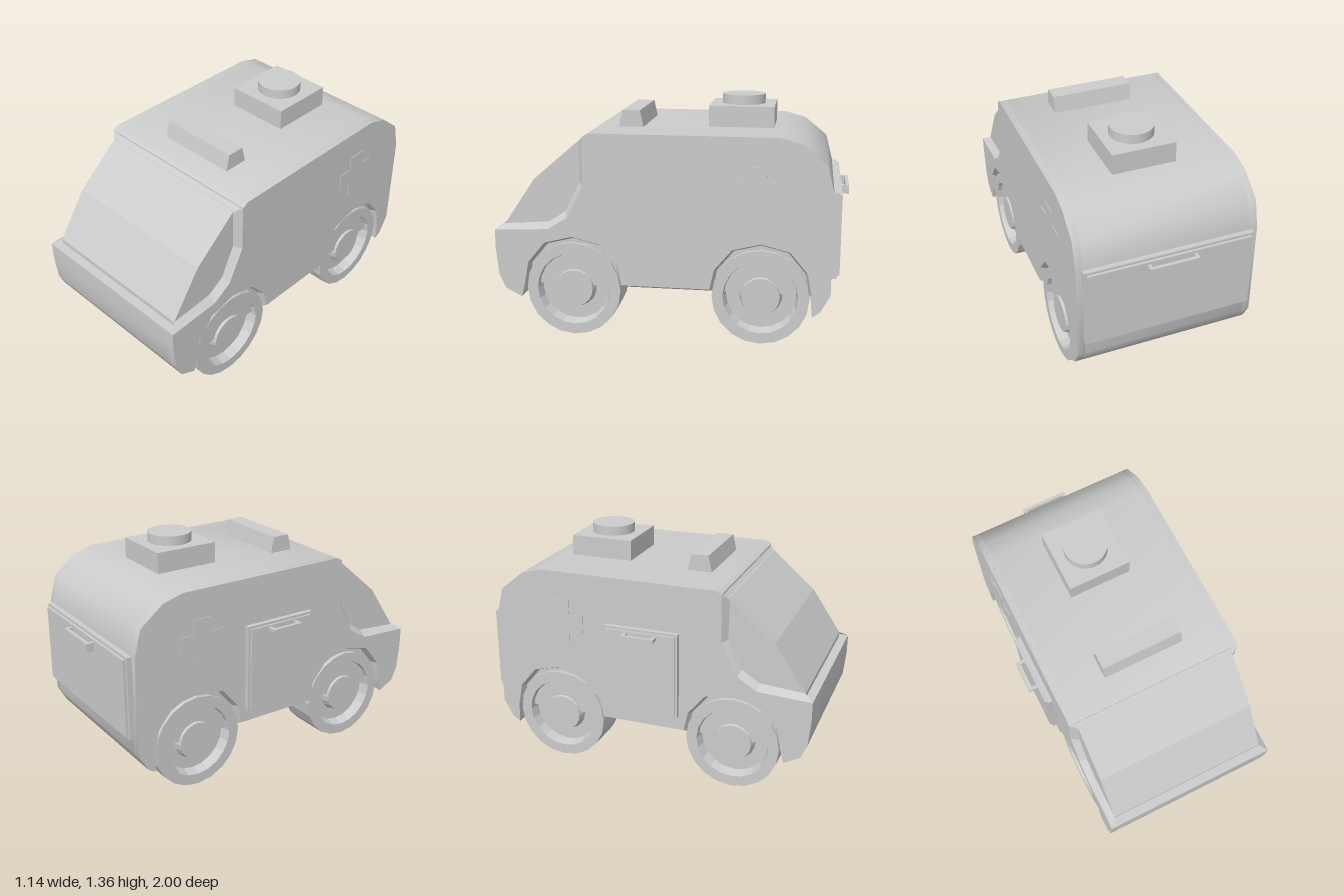
import * as THREE from 'three';
import { toCreasedNormals } from 'three/addons/utils/BufferGeometryUtils.js';

const HALF = 0.522, CORE = 0.48, CX = 0.043; // body half width, inner half width, body centre
const mat = new THREE.MeshStandardMaterial({ color: 0xcccccc, side: THREE.DoubleSide });
const flat = new THREE.MeshStandardMaterial({ color: 0xcccccc, flatShading: true, side: THREE.DoubleSide });

// Side profiles as [z, y]
const frameOuter = [[0.44, 1.185], [0.475, 1.165], [0.478, 0.89], [0.575, 0.70], [0.69, 0.63], [1, 0.615]];
const frameInner = [[0.44, 1.185], [0.507, 1.13], [0.507, 0.90], [0.59, 0.73], [0.69, 0.665], [0.95, 0.645]];
const nose = [[1, 0.5], [0.985, 0.35], [0.95, 0.27], [0.855, 0.22]];
const tail = [[-0.81, 0.18], [-0.855, 0.21], [-0.91, 0.31], [-0.91, 0.885], [-0.87, 1.04], [-0.735, 1.15], [-0.61, 1.185]];
const WHEEL_Z = [0.55, -0.522], WHEEL_Y = 0.275;

// Lower edge with both wheel arches, front to back
function lowerEdge(scale, bottom) {
  const half = [[0.285, 0.30], [0.26, 0.43], [0.16, 0.55]];
  const arch = [...half, [0, 0.59], ...half.map(([z, y]) => [-z, y]).reverse()];
  return WHEEL_Z.flatMap((c, i) => arch.map(([z, y], j) => {
    const underSill = (i === 0 && j === 6) || (i === 1 && j === 0);
    return [c + z * scale, underSill ? bottom : 0.28 + (y - 0.28) * scale];
  }));
}

function mesh(name, geometry, material = mat) {
  const m = new THREE.Mesh(geometry, material);
  m.name = name;
  return m;
}

function box(name, w, h, d, x, y, z) {
  const m = mesh(name, new THREE.BoxGeometry(w, h, d));
  m.position.set(x, y, z);
  return m;
}

// Extrude a [z, y] profile across x, centred on x
function acrossX(points, width, x = 0, crease = 0.7) {
  const shape = new THREE.Shape(points.map(p => new THREE.Vector2(...p)));
  const g = new THREE.ExtrudeGeometry(shape, { depth: width, bevelEnabled: false });
  g.translate(0, 0, -width / 2).rotateY(-Math.PI / 2).translate(x, 0, 0);
  return toCreasedNormals(g, crease);
}

// Skin a list of [x, path] sections, each path being [z, y] points
function loft(sections) {
  const pos = [], idx = [], n = sections[0][1].length;
  sections.forEach(([x, path]) => path.forEach(([z, y]) => pos.push(x, y, z)));
  for (let s = 0; s < sections.length - 1; s++)
    for (let i = 0; i < n - 1; i++) {
      const a = s * n + i, b = a + n;
      idx.push(a, a + 1, b, b, a + 1, b + 1);
    }
  const g = new THREE.BufferGeometry();
  g.setAttribute('position', new THREE.Float32BufferAttribute(pos, 3));
  g.setIndex(idx);
  g.computeVertexNormals();
  return g;
}

// U-shaped grip lying flat, opening towards -z
function handle(name, width, depth, thick, bar) {
  const w = width / 2;
  const shape = new THREE.Shape([[-w, 0], [-w, depth], [w, depth], [w, 0], [w - bar, 0],
    [w - bar, depth - bar], [bar - w, depth - bar], [bar - w, 0]].map(p => new THREE.Vector2(...p)));
  const g = new THREE.ExtrudeGeometry(shape, { depth: thick, bevelEnabled: false });
  g.translate(0, 0, -thick / 2).rotateX(Math.PI / 2);
  return mesh(name, g);
}

function wheel() {
  const w = 0.12, profile = [[0, -w], [0.274, -w], [0.274, w], [0.212, w], [0.197, w - 0.06],
    [0.122, w - 0.06], [0.108, w - 0.01], [0, w - 0.01]];
  const g = new THREE.LatheGeometry(profile.map(p => new THREE.Vector2(...p)), 20);
  return g.rotateZ(-Math.PI / 2);
}

export function createModel() {
  const root = new THREE.Group();
  root.name = 'van';
  const van = new THREE.Group(); // everything symmetric about the body centre
  van.name = 'body';
  van.position.x = CX;
  root.add(van);

  // Body core, windscreen surround and cabin glass
  const core = [...frameOuter, ...nose, [0.835, 0.295], [-0.80, 0.295], ...tail];
  van.add(mesh('bodyCore', acrossX(core, CORE * 2)));
  van.add(mesh('windscreenFrame', loft([[-HALF, frameOuter], [-CORE, frameInner],
    [CORE, frameInner], [HALF, frameOuter]]), flat));
  const cabin = [[0.46, 1.14], [0.505, 1.137], [0.77, 0.91], [0.95, 0.645], [0.95, 0.6], [0.46, 0.6]];
  van.add(mesh('cabinGlass', acrossX(cabin, CORE * 2, 0, 0.2)));

  // Side panels with bevelled arches, crosses and wheels
  const panel = [...frameOuter, ...nose, ...lowerEdge(1, 0.315), ...tail];
  const a = 0.055, b = 0.14;
  const cross = [[-a, b], [a, b], [a, a], [b, a], [b, -a], [a, -a], [a, -b], [-a, -b],
    [-a, -a], [-b, -a], [-b, a], [-a, a]].map(([z, y]) => [z - 0.495, y + 0.88]);
  for (const s of [1, -1]) {
    const side = s > 0 ? 'left' : 'right';
    van.add(mesh(side + 'SidePanel', acrossX(panel, HALF - CORE, s * (HALF + CORE) / 2)));
    van.add(mesh(side + 'ArchBevel', loft([[s * HALF, lowerEdge(1, 0.315)],
      [s * CORE, lowerEdge(0.945, 0.295)]]), flat));
    van.add(mesh(side + 'Cross', acrossX(cross, 0.02, s * (HALF - 0.006))));
    WHEEL_Z.forEach((z, i) => {
      const m = mesh(side + (i ? 'RearWheel' : 'FrontWheel'), wheel(), flat);
      m.position.set(s * 0.385, WHEEL_Y, z);
      m.rotation.y = s > 0 ? 0 : Math.PI;
      van.add(m);
    });
  }

  // Roof beacon and light bar
  van.add(box('beaconBase', 0.37, 0.13, 0.375, 0, 1.24, -0.377));
  const beacon = mesh('beacon', toCreasedNormals(new THREE.CylinderGeometry(0.126, 0.126, 0.06, 32), 0.7));
  beacon.position.set(0, 1.33, -0.377);
  van.add(beacon);
  const bar = [[0.325, 1.18], [0.302, 1.28], [0.2, 1.28], [0.178, 1.18]];
  van.add(mesh('lightBar', acrossX(bar, 0.48, 0.012, 0.1)));

  // Rear door
  van.add(box('rearDoorFrame', 0.975, 0.485, 0.04, 0, 0.642, -0.92));
  van.add(box('rearDoorPanel', 0.945, 0.455, 0.04, 0, 0.642, -0.935));
  const rearHandle = handle('rearDoorHandle', 0.285, 0.05, 0.05, 0.02);
  rearHandle.position.set(0, 0.83, -0.95);
  rearHandle.rotation.y = Math.PI;
  van.add(rearHandle);

  // Side door on one side only
  van.add(box('sideDoorFrame', 0.04, 0.51, 0.445, -HALF - 0.008, 0.655, 0.012));
  van.add(box('sideDoorPanel', 0.04, 0.48, 0.415, -HALF - 0.02, 0.655, 0.012));
  const sideHandle = handle('sideDoorHandle', 0.195, 0.058, 0.016, 0.02);
  sideHandle.position.set(-HALF - 0.036, 0.878, 0.017);
  sideHandle.rotation.y = -Math.PI / 2;
  van.add(sideHandle);

  return root;
}
